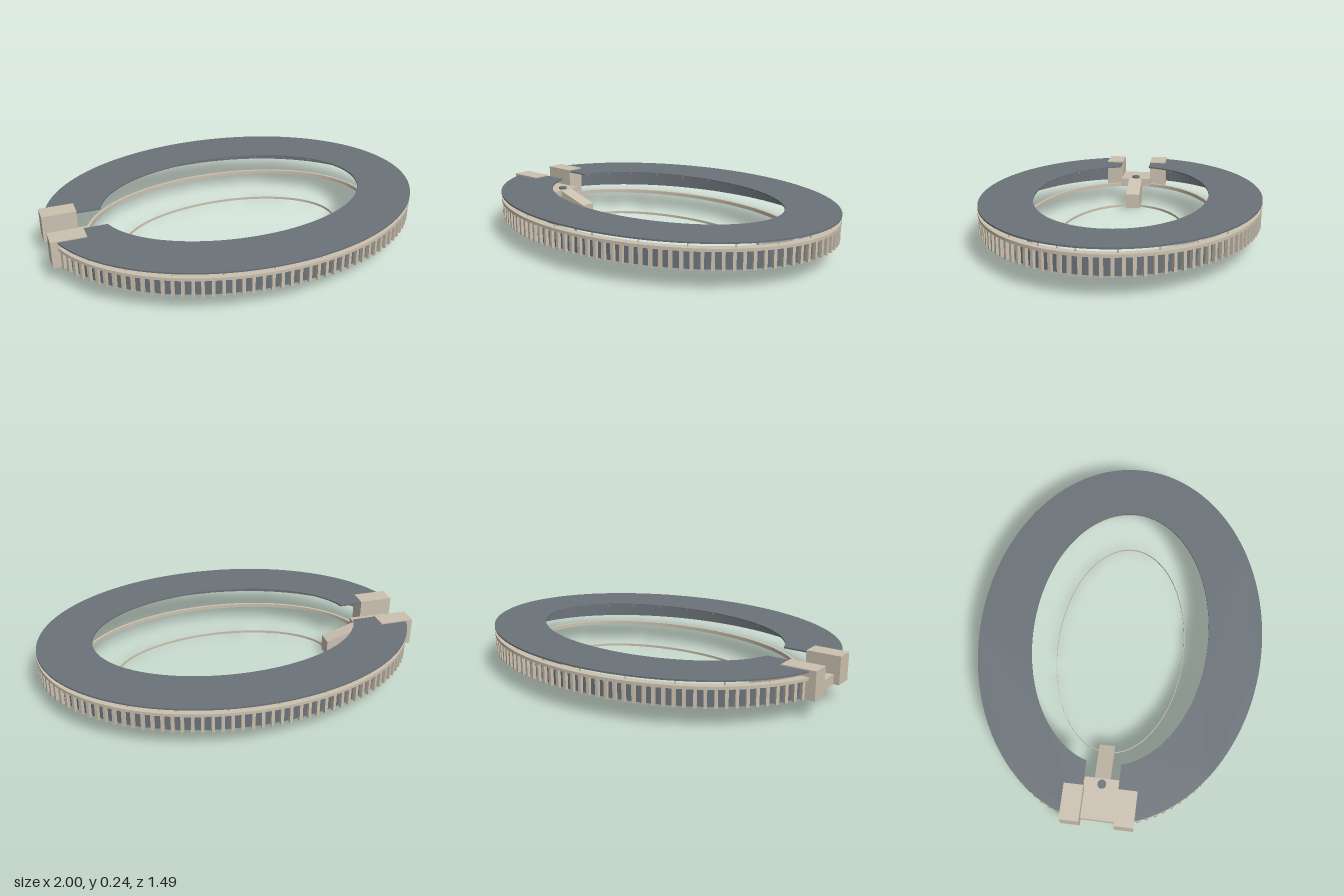
import * as THREE from 'three';

const grey = new THREE.MeshStandardMaterial({ color: 0x6b7379 });
grey.name = 'slateGrey';
const beige = new THREE.MeshStandardMaterial({ color: 0xcbc1b0 });
beige.name = 'paleStone';

export function createModel() {
  const model = new THREE.Group();

  const add = (name, geometry, material, x = 0, y = 0, z = 0, parent = model) => {
    const mesh = new THREE.Mesh(geometry, material);
    mesh.name = name;
    mesh.position.set(x, y, z);
    parent.add(mesh);
    return mesh;
  };

  const group = (name) => {
    const g = new THREE.Group();
    g.name = name;
    model.add(g);
    return g;
  };

  // Points along an ellipse, open around -x where |z| < gap
  const arc = (a, b, gap, n = 144) => {
    const end = Math.PI - Math.asin(gap / b);
    return Array.from({ length: n + 1 }, (_, i) => {
      const t = -end + (2 * end * i) / n;
      return new THREE.Vector2(a * Math.cos(t), b * Math.sin(t));
    });
  };

  // Flat-topped elliptical ring with a rectangular section
  const ring = (a, b, innerA, innerB, y0, y1, gap) => {
    const shape = new THREE.Shape([...arc(a, b, gap), ...arc(innerA, innerB, gap).reverse()]);
    const geometry = new THREE.ExtrudeGeometry(shape, { depth: y1 - y0, bevelEnabled: false });
    return geometry.rotateX(Math.PI / 2).translate(0, y1, 0);
  };

  // Main elliptical rings
  add('roof', ring(0.995, 0.744, 0.71, 0.462, 0.227, 0.235, 0.088), grey);
  add('cornice', ring(0.995, 0.744, 0.955, 0.704, 0.19, 0.205, 0.088), beige);
  add('outerWall', ring(0.968, 0.717, 0.96, 0.709, 0.1, 0.192, 0.088), grey);
  add('middleRing', ring(0.795, 0.52, 0.78, 0.505, 0.092, 0.112, 0.035), beige);
  add('fieldRing', ring(0.6, 0.35, 0.597, 0.347, 0.004, 0.017, 0.03), beige);

  // Colonnade around the outer wall
  const colonnade = group('colonnade');
  const columnGeometry = new THREE.BoxGeometry(0.018, 0.094, 0.016);
  const samples = arc(0.983, 0.732, 0.18, 1600);
  const count = 108;
  const lengths = [0];
  for (let i = 1; i < samples.length; i++) {
    lengths.push(lengths[i - 1] + samples[i].distanceTo(samples[i - 1]));
  }
  const total = lengths[lengths.length - 1];
  for (let k = 0, i = 0; k < count; k++) {
    while (lengths[i] < (total * (k + 0.5)) / count) i++;
    const p = samples[i];
    const column = add('column', columnGeometry, beige, p.x, 0.147, p.y, colonnade);
    column.rotation.y = -Math.atan2(p.y / 0.732 ** 2, p.x / 0.983 ** 2);
  }

  // Posts and radial beams carrying the roof
  const supports = group('roofSupports');
  const postGeometry = new THREE.CylinderGeometry(0.004, 0.004, 0.026, 8);
  for (let k = 0; k < 25; k++) {
    if (k === 12) continue;
    const t = ((k + 0.5) * 2 * Math.PI) / 25;
    const c = Math.cos(t), s = Math.sin(t);
    add('roofPost', postGeometry, beige, 0.972 * c, 0.216, 0.721 * s, supports);
    const dx = 0.265 * c, dz = 0.263 * s;
    const beam = add('roofBeam', new THREE.BoxGeometry(Math.hypot(dx, dz), 0.005, 0.006), beige,
      0.845 * c, 0.2255, 0.595 * s, supports);
    beam.rotation.y = -Math.atan2(dz, dx);
  }

  // Gatehouse: two blocks with a landing between them
  const tower = new THREE.BoxGeometry(0.18, 0.145, 0.098);
  for (const side of [-1, 1]) {
    add(side > 0 ? 'frontGateBlock' : 'backGateBlock', tower, beige, -0.91, 0.1675, side * 0.135);
  }
  add('gateLanding', new THREE.BoxGeometry(0.21, 0.05, 0.18), beige, -0.865, 0.12, 0);
  add('landingDisc', new THREE.CylinderGeometry(0.022, 0.022, 0.012, 24), grey, -0.79, 0.151, 0);

  // Ramp descending to the field, with its sloped support below
  const profile = [[-0.9, 0.096], [-0.75, 0.06], [-0.75, 0], [-0.575, 0],
    [-0.575, 0.085], [-0.76, 0.144], [-0.9, 0.144]];
  const rampShape = new THREE.Shape(profile.map(([x, y]) => new THREE.Vector2(x, y)));
  add('entranceRamp', new THREE.ExtrudeGeometry(rampShape, { depth: 0.08, bevelEnabled: false }),
    beige, 0, 0, -0.04);

  return model;
}
